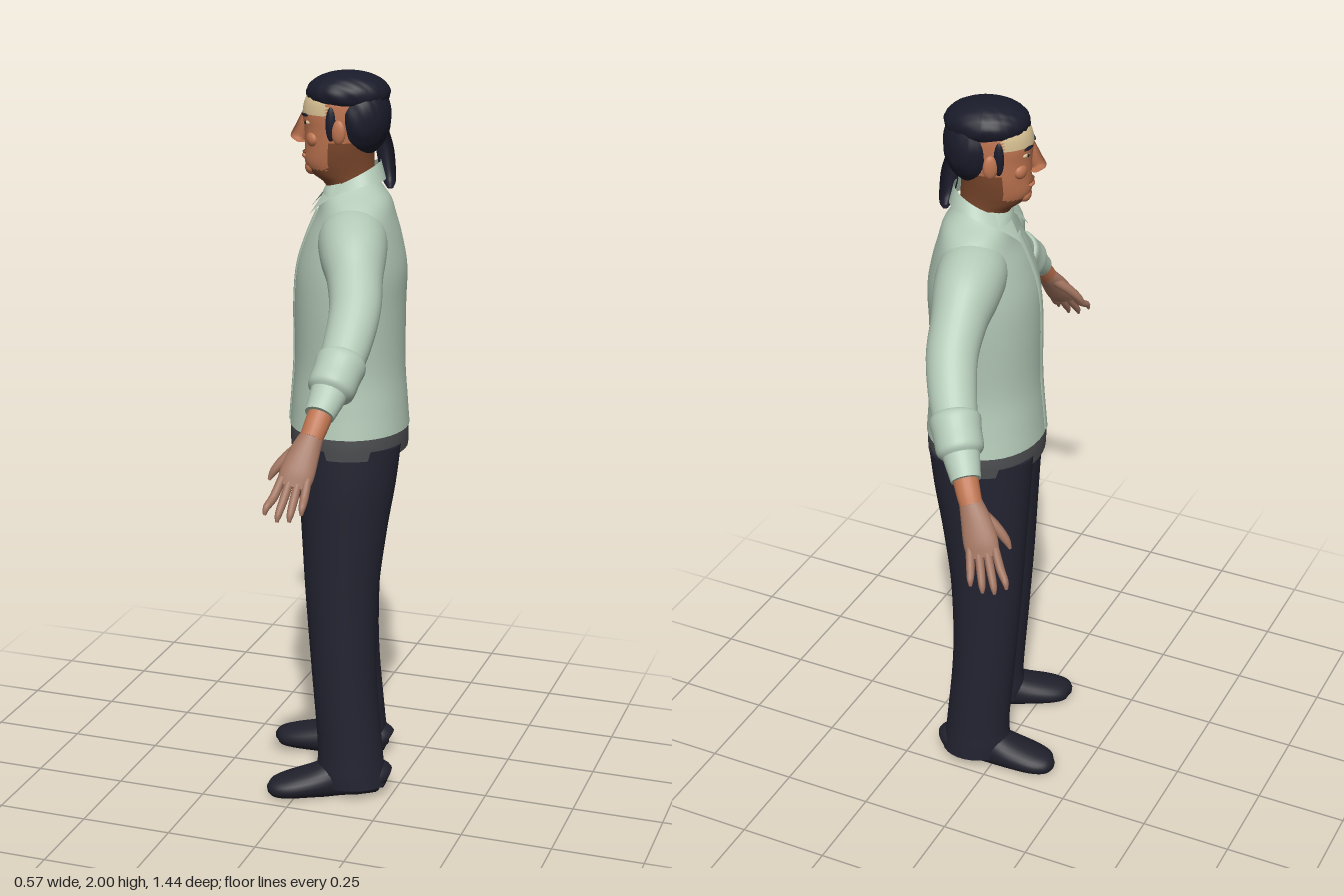
import * as THREE from 'three';

const mat = (name, color) => Object.assign(new THREE.MeshStandardMaterial({ color }), { name });

// Tube with elliptical cross-sections. Rows: [x, y, z, halfWidth, halfDepth].
// ref is the direction of halfDepth; level keeps all rings horizontal.
function loft(rows, { ref = [0, 0, 1], level = false, n = 28, steps = 5, pick = null, floor = -1 } = {}) {
  const centres = new THREE.CatmullRomCurve3(rows.map(r => new THREE.Vector3(r[0], r[1], r[2])), false, 'catmullrom');
  const sizes = new THREE.CatmullRomCurve3(rows.map(r => new THREE.Vector3(r[3], r[4], 0)), false, 'catmullrom');
  const m = (rows.length - 1) * steps, pos = [], groups = [[], [], []];
  const ring = (k) => {
    const c = centres.getPoint(k / m), s = sizes.getPoint(k / m);
    const t = level ? new THREE.Vector3(0, 1, 0) : centres.getTangent(k / m);
    const v = new THREE.Vector3(...ref);
    v.addScaledVector(t, -v.dot(t)).normalize();
    const u = new THREE.Vector3().crossVectors(t, v);
    for (let i = 0; i < n; i++) {
      const q = i / n * Math.PI * 2;
      const p = c.clone().addScaledVector(u, s.x * Math.cos(q)).addScaledVector(v, s.y * Math.sin(q));
      pos.push(p.x, Math.max(p.y, floor), p.z);
    }
    return c;
  };
  const tri = (a, b, c) => {
    const mid = [0, 1, 2].map(j => (pos[a * 3 + j] + pos[b * 3 + j] + pos[c * 3 + j]) / 3);
    groups[pick ? pick(...mid) : 0].push(a, b, c);
  };
  for (let k = 0; k <= m; k++) ring(k);
  for (let k = 0; k < m; k++) for (let i = 0; i < n; i++) {
    const a = k * n + i, b = k * n + (i + 1) % n;
    tri(a, a + n, b);
    tri(b, a + n, b + n);
  }
  for (const k of [0, m]) {           // end caps
    const base = pos.length / 3, c = ring(k), mid = base + n;
    pos.push(c.x, Math.max(c.y, floor), c.z);
    for (let i = 0; i < n; i++) {
      const a = base + i, b = base + (i + 1) % n;
      k ? tri(mid, b, a) : tri(mid, a, b);
    }
  }
  const g = new THREE.BufferGeometry();
  g.setAttribute('position', new THREE.Float32BufferAttribute(pos, 3));
  g.setIndex(groups.flat());
  if (pick) groups.reduce((s, l, i) => (g.addGroup(s, l.length, i), s + l.length), 0);
  g.computeVertexNormals();
  return g;
}

// Ellipsoid with combed ripples
function hairLump(radii, centre) {
  const g = new THREE.SphereGeometry(1, 64, 32), p = g.attributes.position;
  for (let i = 0; i < p.count; i++) {
    const x = p.getX(i), y = p.getY(i), z = p.getZ(i);
    const f = 1 + 0.018 * Math.sin(24 * x + 5 * z) * Math.cos(9 * z - 6 * y) * (1 - y * y);
    p.setXYZ(i, centre[0] + x * f * radii[0], centre[1] + y * f * radii[1], centre[2] + z * f * radii[2]);
  }
  g.computeVertexNormals();
  return g;
}

// Folded collar: strip from the neck edge down to two front points
function collarGeometry() {
  const pos = [], idx = [], n = 40;
  for (let i = 0; i <= n; i++) {
    const q = (i / n * 2 - 1) * 2.98, e = Math.abs(q) / Math.PI, qb = q * (1 - 0.12 * e ** 3);
    const r = 0.086 + 0.05 * e ** 4;
    pos.push(Math.sin(q) * 0.068, 1.765 - 0.038 * (1 - Math.cos(q)), -0.097 - Math.cos(q) * 0.073);
    pos.push(Math.sin(qb) * r, 1.715 - 0.1 * e ** 3, -0.097 - Math.cos(qb) * r);
    if (i) idx.push(2 * i - 2, 2 * i, 2 * i - 1, 2 * i, 2 * i + 1, 2 * i - 1);
  }
  const g = new THREE.BufferGeometry();
  g.setAttribute('position', new THREE.Float32BufferAttribute(pos, 3));
  g.setIndex(idx);
  g.computeVertexNormals();
  return g;
}

export function createModel() {
  const shirt = mat('shirtGreen', 0xb4cab8), under = mat('undershirtGrey', 0x4c4d50);
  const trousers = mat('trouserNavy', 0x232331), shoeMat = mat('shoeNavy', 0x20202c);
  const hair = mat('hairBlack', 0x1a1b2a), skin = mat('faceSkin', 0xbe7450);
  const jaw = mat('shadedSkin', 0x7c482c), pale = mat('paleSkin', 0xd9c294), handSkin = mat('handSkin', 0xa0735f);
  shirt.side = THREE.DoubleSide;

  const body = new THREE.Group();
  body.name = 'man';
  const add = (name, geo, material) => {
    const mesh = new THREE.Mesh(geo, material);
    mesh.name = name;
    body.add(mesh);
    return mesh;
  };
  const ball = (name, material, p, s, rx = 0, ry = 0) => {
    const mesh = add(name, new THREE.SphereGeometry(1, 16, 12), material);
    mesh.position.set(...p);
    mesh.scale.set(...s);
    mesh.rotation.set(rx, ry, 0);
  };

  // Shirt, undershirt hem and collar
  add('shirtBody', loft([
    [0, 1.045, -0.09, 0.193, 0.163], [0, 1.12, -0.09, 0.182, 0.157], [0, 1.22, -0.09, 0.174, 0.15],
    [0, 1.38, -0.09, 0.186, 0.15], [0, 1.48, -0.095, 0.192, 0.147], [0, 1.56, -0.1, 0.19, 0.128],
    [0, 1.62, -0.105, 0.18, 0.106], [0, 1.66, -0.105, 0.145, 0.094], [0, 1.69, -0.1, 0.092, 0.08],
    [0, 1.71, -0.1, 0.066, 0.066]], { level: true, n: 40 }), shirt);
  add('undershirtHem', loft([[0, 0.985, -0.09, 0.191, 0.16], [0, 1.02, -0.09, 0.192, 0.161],
    [0, 1.05, -0.09, 0.19, 0.16]], { level: true, n: 40 }), under);
  add('collar', collarGeometry(), shirt);
  add('placket', loft([[0, 1.05, 0.071, 0.016, 0.005], [0, 1.22, 0.059, 0.016, 0.005], [0, 1.38, 0.059, 0.016, 0.005],
    [0, 1.48, 0.051, 0.016, 0.005], [0, 1.56, 0.027, 0.016, 0.005], [0, 1.63, -0.002, 0.016, 0.005]], { n: 8 }), shirt);

  // Head, with shaded jaw and pale forehead
  add('head', loft([
    [0, 1.64, -0.1, 0.055, 0.06], [0, 1.7, -0.088, 0.056, 0.066], [0, 1.73, -0.07, 0.06, 0.084],
    [0, 1.76, -0.06, 0.067, 0.092], [0, 1.8, -0.06, 0.075, 0.092], [0, 1.85, -0.065, 0.08, 0.098],
    [0, 1.89, -0.07, 0.083, 0.108], [0, 1.93, -0.075, 0.08, 0.104], [0, 1.965, -0.08, 0.06, 0.08]], {
    level: true, n: 40,
    pick: (x, y, z) => (y > 1.892 && z > -0.03 ? 2 : y < 1.745 || (z < -0.03 && y < 1.82) ? 1 : 0),
  }), [skin, jaw, pale]);
  add('nose', loft([[0, 1.89, 0.032, 0.008, 0.008], [0, 1.86, 0.042, 0.011, 0.013],
    [0, 1.828, 0.05, 0.016, 0.02], [0, 1.812, 0.04, 0.015, 0.014]], { level: true, n: 14 }), skin);
  ball('upperLip', jaw, [0, 1.786, 0.03], [0.025, 0.004, 0.008]);
  ball('lowerLip', skin, [0, 1.776, 0.03], [0.022, 0.007, 0.01]);
  ball('chin', skin, [0, 1.745, 0.014], [0.03, 0.02, 0.018]);
  for (const s of [1, -1]) {
    ball('ear', skin, [s * 0.085, 1.85, -0.06], [0.011, 0.032, 0.02], 0, s * -0.4);
    ball('eye', pale, [s * 0.035, 1.868, 0.023], [0.014, 0.006, 0.006], 0, s * 0.4);
    ball('pupil', hair, [s * 0.035, 1.868, 0.028], [0.005, 0.005, 0.003], 0, s * 0.4);
    ball('eyebrow', hair, [s * 0.036, 1.888, 0.03], [0.02, 0.004, 0.005], 0, s * 0.4);
    ball('cheek', skin, [s * 0.042, 1.825, 0.01], [0.022, 0.02, 0.014], 0, s * 0.5);
    ball('sideburn', hair, [s * 0.078, 1.87, -0.04], [0.008, 0.045, 0.014]);
  }

  // Hair and ponytail
  add('hairTop', hairLump([0.092, 0.057, 0.11], [0, 1.943, -0.082]), hair);
  add('hairBack', hairLump([0.093, 0.107, 0.08], [0, 1.882, -0.115]), hair);
  add('ponytail', loft([[0, 1.85, -0.165, 0.03, 0.022], [0, 1.8, -0.178, 0.04, 0.024], [0, 1.75, -0.186, 0.038, 0.022],
    [0, 1.71, -0.192, 0.03, 0.017], [0, 1.69, -0.194, 0.012, 0.008]], { level: true, n: 18 }), hair);

  for (const s of [1, -1]) {
    const side = s > 0 ? 'left' : 'right';
    const limb = (name, rows, material, opts) =>
      add(side + name, loft(rows.map(([x, ...r]) => [s * x, ...r]), opts), material);

    // Sleeve with rolled cuff
    limb('Sleeve', [[0.05, 1.595, -0.1, 0.06, 0.07], [0.12, 1.575, -0.1, 0.088, 0.09], [0.2, 1.545, -0.105, 0.092, 0.086],
      [0.27, 1.5, -0.112, 0.075, 0.072], [0.35, 1.44, -0.115, 0.063, 0.066], [0.44, 1.36, -0.095, 0.056, 0.06],
      [0.52, 1.29, -0.065, 0.047, 0.05], [0.585, 1.235, -0.038, 0.034, 0.038]], shirt);
    limb('Cuff', [[0.455, 1.345, -0.09, 0.05, 0.053], [0.467, 1.335, -0.086, 0.064, 0.065], [0.495, 1.31, -0.075, 0.061, 0.062],
      [0.525, 1.283, -0.063, 0.06, 0.06], [0.537, 1.272, -0.058, 0.044, 0.046]], shirt);

    // Forearm, palm, fingers and thumb
    limb('Wrist', [[0.57, 1.247, -0.045, 0.029, 0.033], [0.6, 1.21, -0.03, 0.026, 0.031],
      [0.617, 1.186, -0.02, 0.023, 0.029]], skin, { n: 18 });
    limb('Palm', [[0.612, 1.192, -0.023, 0.022, 0.029], [0.637, 1.155, -0.005, 0.021, 0.038],
      [0.665, 1.11, 0.012, 0.018, 0.044], [0.683, 1.078, 0.022, 0.012, 0.04]], handSkin, { n: 18 });
    for (let k = 0; k < 4; k++) {
      const w = k - 1.5, tip = 1.003 + 0.009 * w * w;
      limb('Finger' + (k + 1), [[0.672, 1.1, 0.017 + w * 0.021, 0.011, 0.011],
        [0.702, 1.055 + 0.002 * w * w, 0.03 + w * 0.025, 0.011, 0.011],
        [0.727, tip + 0.018, 0.04 + w * 0.029, 0.009, 0.009],
        [0.734, tip, 0.043 + w * 0.03, 0.004, 0.004]], handSkin, { n: 10, steps: 3 });
    }
    limb('Thumb', [[0.62, 1.17, 0.0, 0.015, 0.016], [0.63, 1.14, 0.04, 0.014, 0.014],
      [0.64, 1.108, 0.07, 0.011, 0.011], [0.646, 1.085, 0.083, 0.004, 0.004]], handSkin, { n: 10, steps: 3 });

    // Trouser leg and shoe
    limb('TrouserLeg', [[0.09, 1.01, -0.09, 0.096, 0.142], [0.092, 0.9, -0.087, 0.098, 0.132],
      [0.1, 0.76, -0.08, 0.09, 0.116], [0.108, 0.58, -0.075, 0.083, 0.1], [0.117, 0.36, -0.082, 0.079, 0.09],
      [0.128, 0.14, -0.1, 0.075, 0.09], [0.13, 0.07, -0.103, 0.077, 0.095],
      [0.131, 0.03, -0.108, 0.077, 0.096]].reverse(), trousers, { level: true });
    limb('Shoe', [[0.122, 0.035, -0.2, 0.028, 0.03], [0.125, 0.045, -0.175, 0.05, 0.048], [0.135, 0.045, -0.08, 0.052, 0.062],
      [0.152, 0.036, 0, 0.06, 0.045], [0.168, 0.028, 0.07, 0.057, 0.034], [0.178, 0.023, 0.11, 0.04, 0.025],
      [0.18, 0.02, 0.128, 0.01, 0.01]], shoeMat, { ref: [0, 1, 0], floor: 0 });
  }

  // Turn the standing figure
  const model = new THREE.Group();
  model.name = 'standingMan';
  body.rotation.y = THREE.MathUtils.degToRad(-74);
  body.position.set(-0.003, 0, -0.012);
  model.add(body);
  return model;
}
